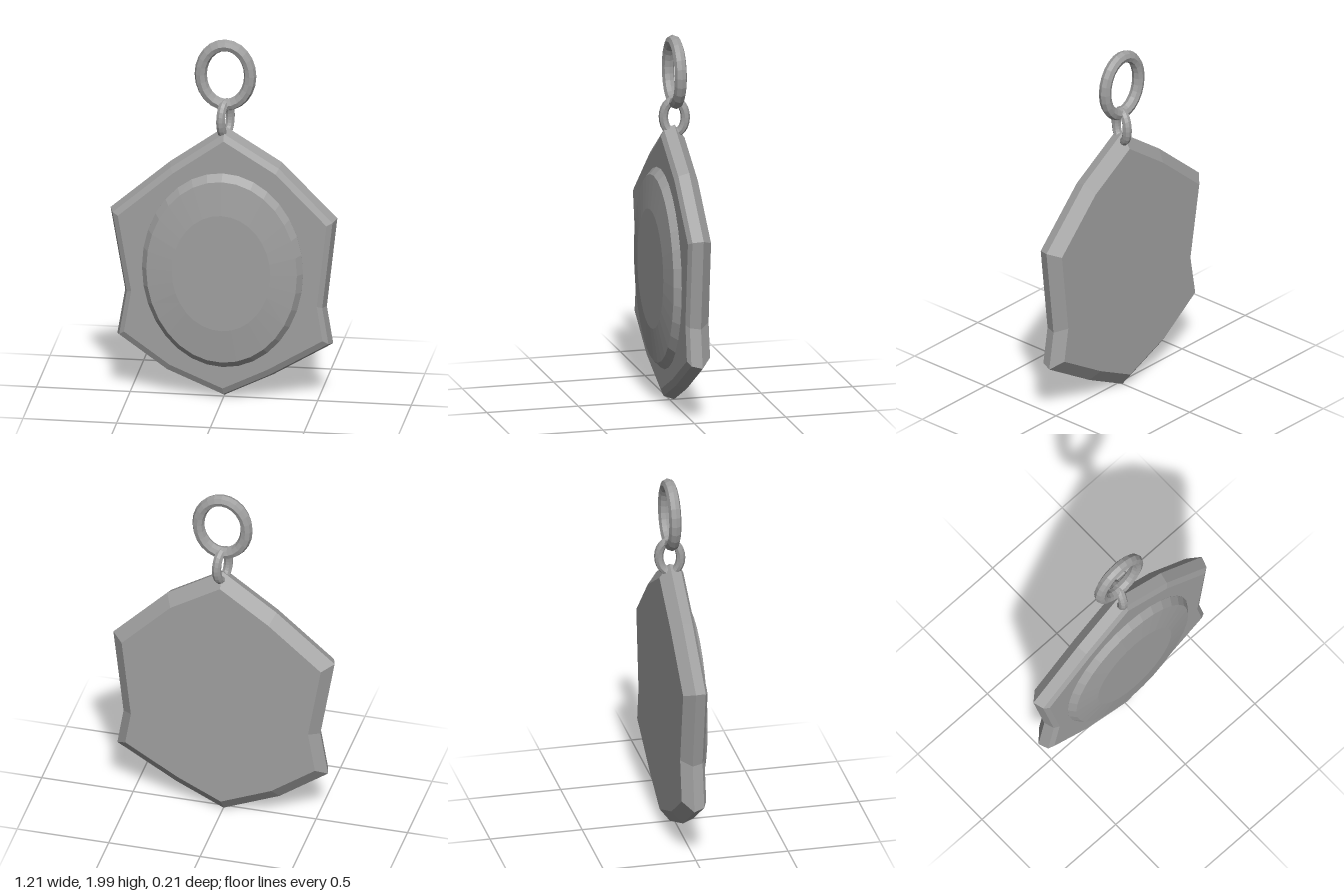
import * as THREE from 'three';

// Give every face its own normal for a faceted look
function faceted(geometry) {
  const g = geometry.index ? geometry.toNonIndexed() : geometry;
  g.computeVertexNormals();
  return g;
}

// Join closed cross-sections (ordered back to front, counter-clockwise seen from +z) and cap both ends
function loft(sections, centreY) {
  const n = sections[0].length;
  const p = [];
  const tri = (a, b, c) => p.push(...a, ...b, ...c);
  for (let i = 0; i < sections.length - 1; i++) {
    for (let j = 0; j < n; j++) {
      const k = (j + 1) % n;
      const [a, b, c, d] = [sections[i][j], sections[i][k], sections[i + 1][k], sections[i + 1][j]];
      tri(a, b, c);
      tri(a, c, d);
    }
  }
  const back = sections[0];
  const front = sections[sections.length - 1];
  for (let j = 0; j < n; j++) {
    const k = (j + 1) % n;
    tri([0, centreY, back[0][2]], back[k], back[j]);
    tri([0, centreY, front[0][2]], front[j], front[k]);
  }
  const g = new THREE.BufferGeometry();
  g.setAttribute('position', new THREE.Float32BufferAttribute(p, 3));
  return faceted(g);
}

// Oval chain link: a torus stretched along y without thickening the wire
function ovalLink(rx, ry, wire) {
  const g = new THREE.TorusGeometry(rx, wire, 8, 24);
  const pos = g.attributes.position;
  for (let i = 0; i < pos.count; i++) {
    const angle = Math.atan2(pos.getY(i), pos.getX(i));
    pos.setY(i, pos.getY(i) + (ry - rx) * Math.sin(angle));
  }
  return faceted(g);
}

export function createModel() {
  const model = new THREE.Group();
  model.name = 'pendant';
  const metal = new THREE.MeshStandardMaterial({ color: 0xa0a0a0 });
  metal.name = 'grey metal';

  const add = (name, geometry, x = 0, y = 0, z = 0) => {
    const mesh = new THREE.Mesh(geometry, metal);
    mesh.name = name;
    mesh.position.set(x, y, z);
    model.add(mesh);
    return mesh;
  };

  // Shield-like plate with a slightly irregular outline and bevelled rims
  const outline = [
    [0.005, 1.513], [-0.29, 1.303], [-0.608, 1.03], [-0.53, 0.575], [-0.572, 0.326], [-0.307, 0.137],
    [0, 0.008], [0.26, 0.135], [0.58, 0.326], [0.546, 0.533], [0.602, 1.027], [0.307, 1.327],
  ];
  const plateY = 0.76;
  const plateLayers = [[0.9, -0.08], [1, -0.024], [0.97, 0.033], [0.92, 0.05]]; // scale, z
  add('plate', loft(plateLayers.map(([s, z]) =>
    outline.map(([x, y]) => [x * s, plateY + (y - plateY) * s, z])), plateY));

  // Raised oval medallion
  const ovalY = 0.732;
  const ovalLayers = [[0.43, 0.543, 0.045], [0.43, 0.543, 0.051], [0.402, 0.506, 0.087], [0.263, 0.323, 0.106]]; // rx, ry, z
  const sides = 32;
  add('medallion', loft(ovalLayers.map(([rx, ry, z]) =>
    Array.from({ length: sides }, (_, i) => {
      const a = (i / sides) * Math.PI * 2;
      return [rx * Math.cos(a), ovalY + ry * Math.sin(a), z];
    })), ovalY));

  // Hanging ring and the small link joining it to the plate
  add('hangingRing', ovalLink(0.132, 0.166, 0.033), 0.005, 1.801, -0.024);
  const link = add('connectingLink', ovalLink(0.058, 0.088, 0.025), 0.005, 1.556, -0.024);
  link.rotation.y = 1.257;

  return model;
}
